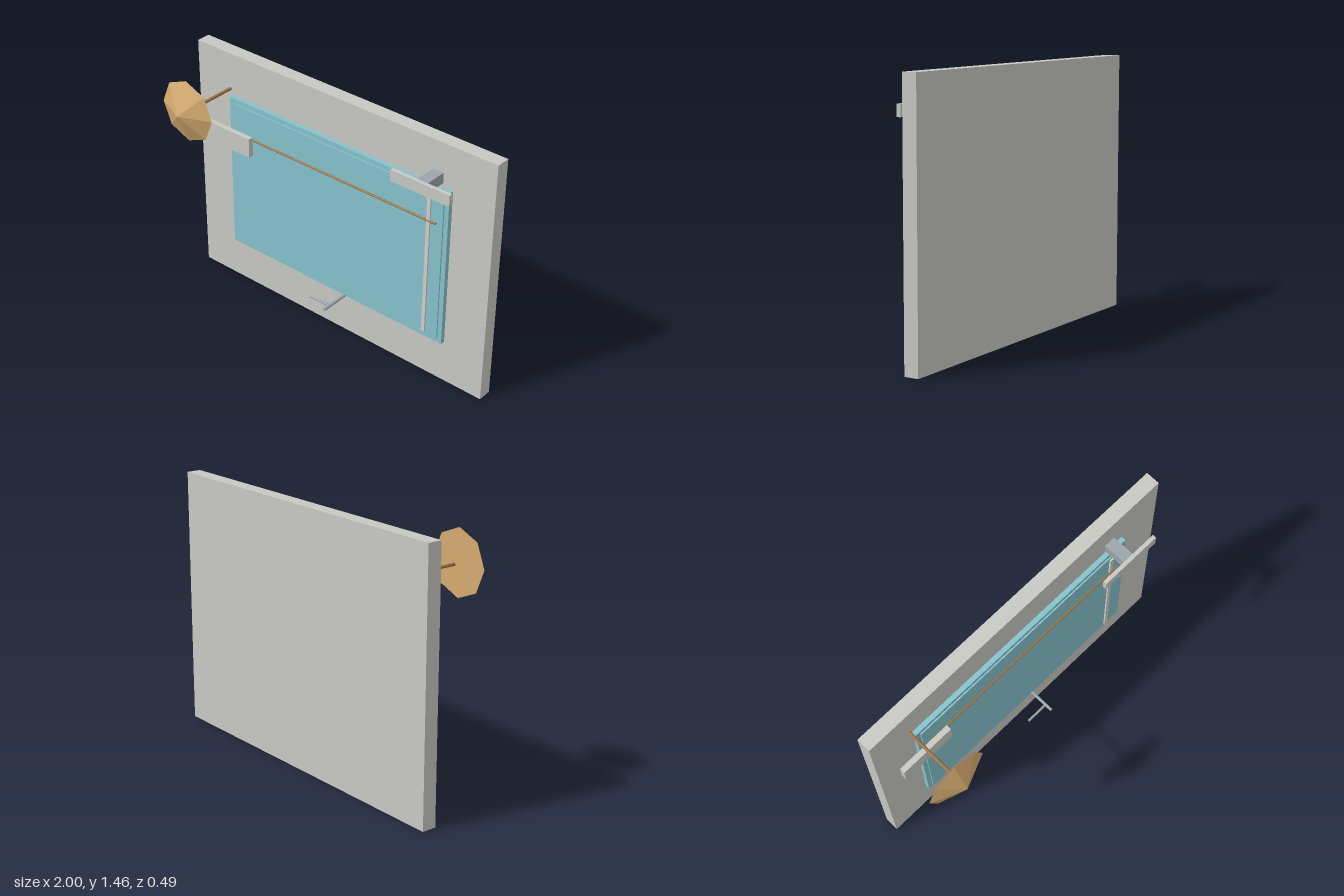
import * as THREE from 'three';

const mat = (name, color) => {
  const m = new THREE.MeshStandardMaterial({ color });
  m.name = name;
  return m;
};

export function createModel() {
  const model = new THREE.Group();
  model.name = 'pool';
  const stone = mat('stone', 0xc8c8c3);
  const water = mat('water blue', 0x86c2cc);
  const steel = mat('steel', 0x9ca5ac);
  const white = mat('pale line', 0xd2d0cc);
  const canvas = mat('canvas tan', 0xd4ab70);
  const wood = mat('wood', 0xa0743f);
  canvas.flatShading = true;

  const add = (name, geometry, material) => {
    const mesh = new THREE.Mesh(geometry, material);
    mesh.name = name;
    model.add(mesh);
    return mesh;
  };
  // Box given by its limits on each axis
  const box = (name, material, [x0, x1], [y0, y1], [z0, z1]) =>
    add(name, new THREE.BoxGeometry(x1 - x0, y1 - y0, z1 - z0), material)
      .position.set((x0 + x1) / 2, (y0 + y1) / 2, (z0 + z1) / 2);
  // Round rod along x or z
  const rod = (name, material, axis, radius, from, to, x, y, z) => {
    const g = new THREE.CylinderGeometry(radius, radius, to - from, 8);
    if (axis === 'x') g.rotateZ(-Math.PI / 2);
    else g.rotateX(Math.PI / 2);
    const mesh = add(name, g, material);
    mesh.position.set(x, y, z);
    mesh.position[axis] = (from + to) / 2;
  };

  // Deck slab and stepped water basin
  box('deck', stone, [-1, 1], [0, 1.455], [-0.247, -0.166]);
  box('basin', water, [-0.747, 0.747], [0.257, 1.203], [-0.166, -0.139]);
  box('waterSurface', water, [-0.72, 0.72], [0.285, 1.175], [-0.139, -0.131]);

  // Lane line and rope across the water
  box('laneLine', white, [0.623, 0.645], [0.3, 1.157], [-0.131, -0.122]);
  rod('rope', wood, 'x', 0.006, -0.685, 0.682, 0, 1.002, -0.124);

  // Bench slab at the side
  box('bench', stone, [-0.893, -0.567], [0.907, 1.022], [-0.121, -0.09]);

  // Diving stand and board
  box('boardStand', steel, [0.62, 0.685], [1.226, 1.287], [-0.166, -0.035]);
  box('divingBoard', stone, [0.47, 0.835], [1.224, 1.289], [-0.035, -0.013]);

  // Handrail post and bar
  rod('railPost', steel, 'z', 0.009, -0.166, 0.008, 0.061, 0.23, 0);
  rod('railBar', steel, 'x', 0.007, -0.075, 0.061, 0, 0.23, -0.037);

  // Parasol: pole and eight-sided shade
  rod('parasolPole', wood, 'z', 0.009, -0.166, 0.14, -0.765, 1.237, 0);
  const shade = new THREE.ConeGeometry(0.181, 0.079, 8).rotateX(Math.PI / 2);
  add('parasolShade', shade, canvas).position.set(-0.765, 1.239, 0.2075);

  return model;
}
